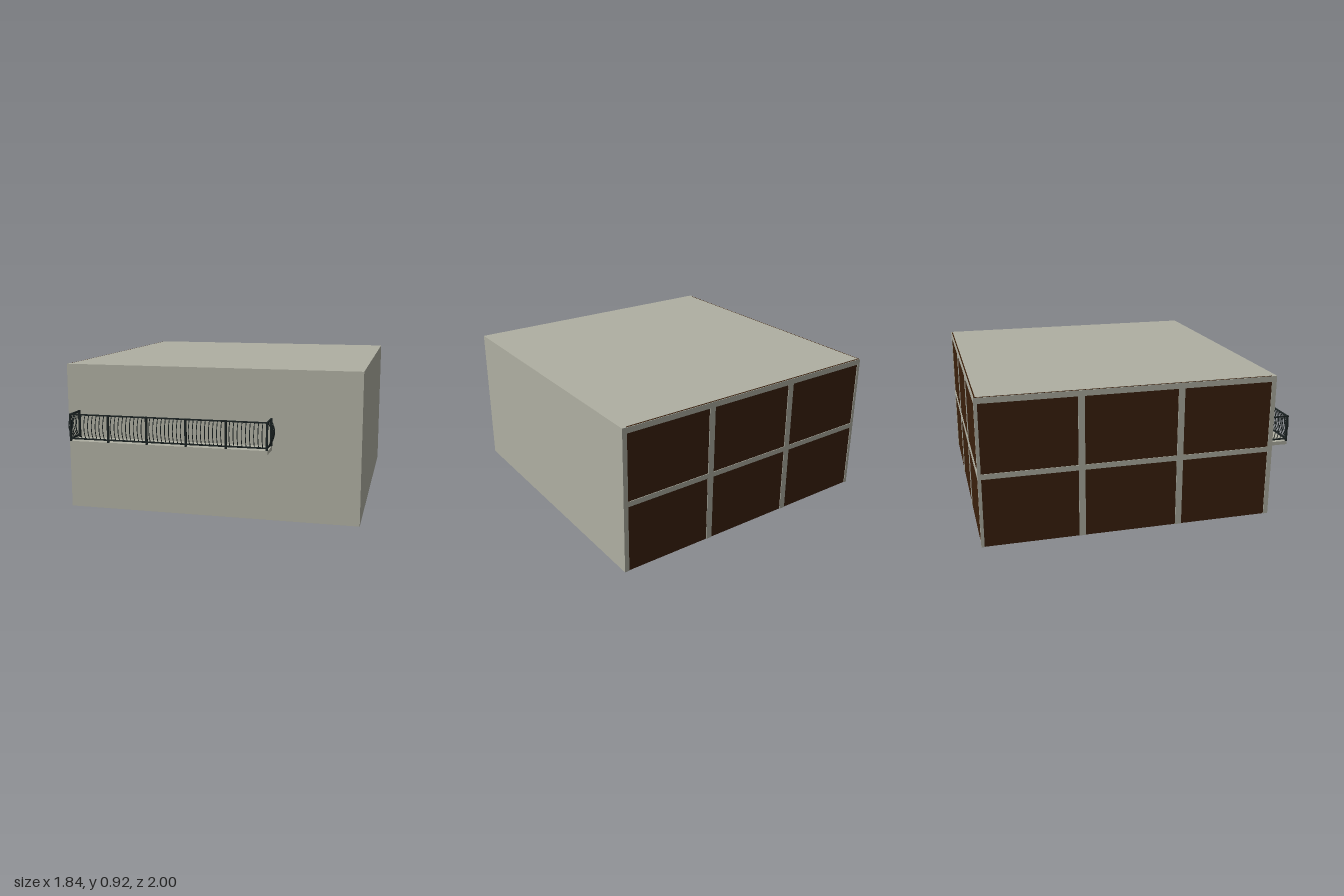
import * as THREE from 'three';

const plaster = new THREE.MeshStandardMaterial({ color: 0xafafa2 });
plaster.name = 'plaster grey';
const timber = new THREE.MeshStandardMaterial({ color: 0x3b200c });
timber.name = 'dark brown';
const iron = new THREE.MeshStandardMaterial({ color: 0x1c2424 });
iron.name = 'iron black';

// Box given by its lower and upper corners
function box(parent, name, material, [x0, y0, z0], [x1, y1, z1]) {
  const mesh = new THREE.Mesh(new THREE.BoxGeometry(x1 - x0, y1 - y0, z1 - z0), material);
  mesh.position.set((x0 + x1) / 2, (y0 + y1) / 2, (z0 + z1) / 2);
  mesh.name = name;
  parent.add(mesh);
}

const X = 0.92, H = 0.92, BACK = -1, FRONT = 0.84, T = 0.03;
const PLATE = 0.004; // depth of the frame strips on the brown walls

function createShell() {
  const shell = new THREE.Group();
  shell.name = 'shell';
  box(shell, 'frontWall', plaster, [-X, 0, FRONT - T], [X, H, FRONT]);
  box(shell, 'plainSideWall', plaster, [X - T, 0, BACK], [X, H, FRONT - T]);
  box(shell, 'roof', plaster, [-X + 0.012, H - T, BACK + 0.012], [X - T, H, FRONT - T]);
  box(shell, 'backPanelWall', timber, [-X + PLATE, 0, BACK + PLATE], [X - T, H - 0.001, BACK + T]);
  box(shell, 'sidePanelWall', timber, [-X + PLATE, 0, BACK + T], [-X + T, H - 0.001, FRONT - T]);
  return shell;
}

// Strips dividing each brown wall into two rows of three panels
function createFrames() {
  const frames = new THREE.Group();
  frames.name = 'panelFrames';
  const top = H - 0.002, w = 0.02;
  const strip = (name, a, b, y0, y1) => {
    // a and b are fractions along the wall, starting at the shared corner
    const xa = -X + a * 2 * X, xb = -X + b * 2 * X;
    const za = BACK + a * (FRONT - BACK), zb = BACK + b * (FRONT - BACK);
    box(frames, 'back' + name, plaster, [xa, y0, BACK], [Math.min(xb, X - T), y1, BACK + PLATE]);
    box(frames, 'side' + name, plaster, [-X, y0, Math.max(za, BACK + PLATE)],
      [-X + PLATE, y1, Math.min(zb, FRONT - T)]);
  };
  const half = w / (2 * X);
  const posts = [[0, half], [1 / 3 - half, 1 / 3 + half], [2 / 3 - half, 2 / 3 + half]];
  posts.forEach(([a, b], i) => {
    strip('Mullion', a, b, 0, top - 0.035);
    // Middle rail runs between the mullions
    strip('MiddleRail', b, i < 2 ? posts[i + 1][0] : 1, 0.427, 0.46);
  });
  strip('TopRail', 0, 1, top - 0.035, top);
  return frames;
}

function createBalcony() {
  const balcony = new THREE.Group();
  balcony.name = 'balcony';
  const x0 = -0.845, x1 = 0.385, z1 = 0.973, low = 0.475, high = 0.625, r = 0.005;
  box(balcony, 'balconySlab', plaster, [x0 - r, 0.437, FRONT], [x1 + r, 0.46, z1 + r]);

  // Handrail and bottom rail on three sides
  for (const [name, y] of [['bottomRail', low], ['handrail', high]]) {
    box(balcony, name, iron, [x0 - r, y - 0.004, z1 - r], [x1 + r, y + 0.004, z1 + r]);
    for (const x of [x0, x1]) {
      box(balcony, name, iron, [x - r, y - 0.004, FRONT], [x + r, y + 0.004, z1 - r]);
    }
  }

  // Posts
  const post = (x, z) => box(balcony, 'railPost', iron,
    [x - 0.006, 0.46, z - 0.006], [x + 0.006, 0.63, z + 0.006]);
  const bays = 5, step = (x1 - x0) / bays;
  for (let i = 0; i <= bays; i++) post(x0 + i * step, z1);
  for (const x of [x0, x1]) post(x, FRONT + 0.007);

  // Balusters bowed outward
  const bulge = 0.047;
  const curve = new THREE.QuadraticBezierCurve3(
    new THREE.Vector3(0, low, 0),
    new THREE.Vector3(0, (low + high) / 2, bulge),
    new THREE.Vector3(0, high, 0));
  const bar = new THREE.TubeGeometry(curve, 8, 0.0025, 5);
  const baluster = (x, z, turn) => {
    const mesh = new THREE.Mesh(bar, iron);
    mesh.position.set(x, 0, z);
    mesh.rotation.y = turn;
    mesh.name = 'baluster';
    balcony.add(mesh);
  };
  const perBay = 10;
  for (let i = 1; i < bays * perBay; i++) {
    if (i % perBay) baluster(x0 + (i * step) / perBay, z1, 0);
  }
  for (let i = 1; i < 6; i++) {
    const z = FRONT + (i * (z1 - FRONT)) / 6;
    baluster(x0, z, -Math.PI / 2);
    baluster(x1, z, Math.PI / 2);
  }
  return balcony;
}

export function createModel() {
  const model = new THREE.Group();
  model.name = 'roomWithBalcony';
  model.add(createShell(), createFrames(), createBalcony());
  return model;
}
